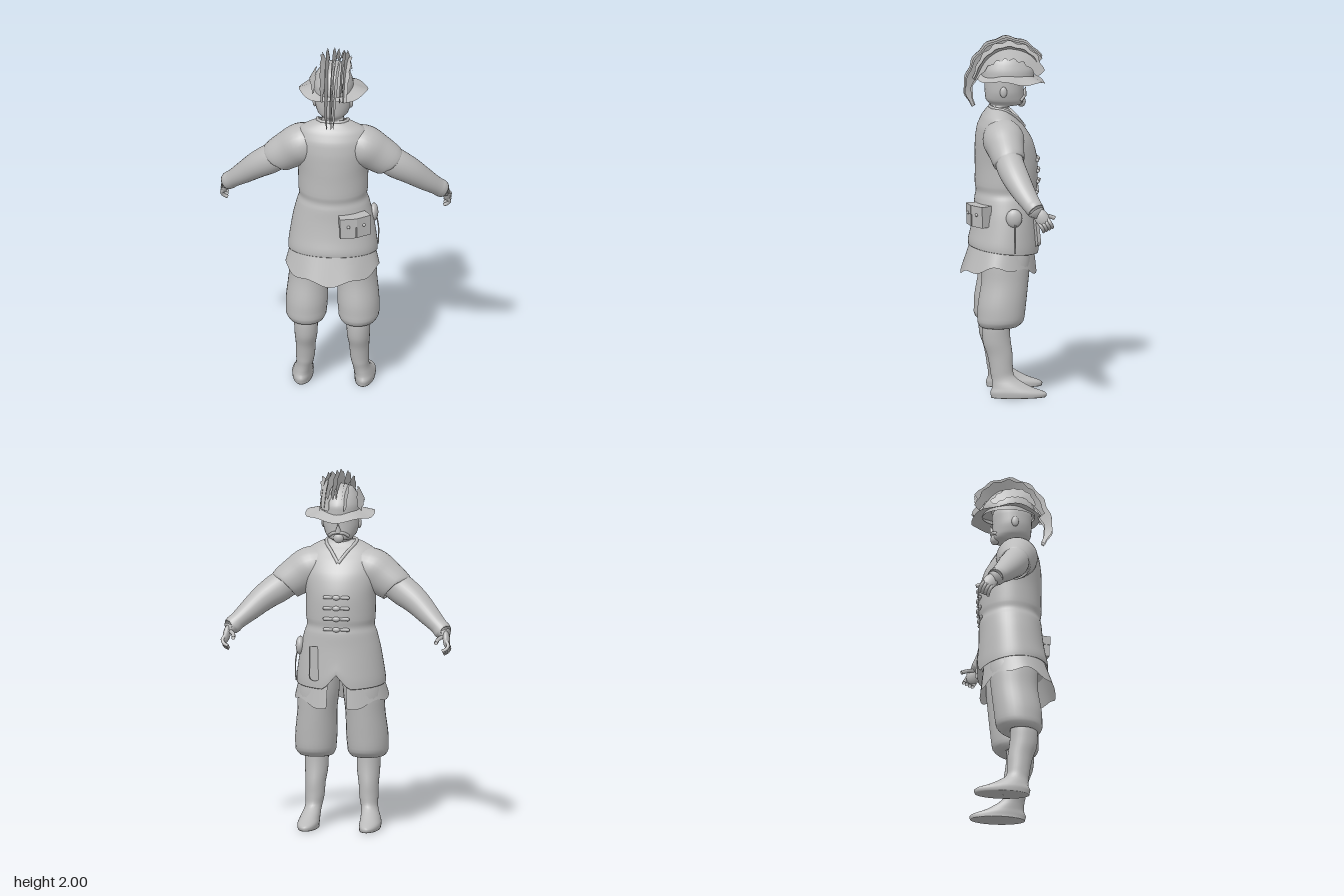
import * as THREE from 'three';

const grey = new THREE.MeshStandardMaterial({ color: 0xbcbcbc, side: THREE.DoubleSide });
grey.name = 'plain grey';
const V = (x, y, z) => new THREE.Vector3(x, y, z);
const curve = (pts) => new THREE.CatmullRomCurve3(pts.map((p) => V(...p)));

function add(parent, name, geometry, pos = [0, 0, 0], rot = [0, 0, 0], scale = [1, 1, 1]) {
  const m = new THREE.Mesh(geometry, grey);
  m.name = name;
  m.position.set(...pos);
  m.rotation.set(...rot);
  m.scale.set(...scale);
  parent.add(m);
  return m;
}

// Surface from a rule f(u, v); closed joins the last column to the first
function surface(f, nu, nv, closed = false) {
  const pos = [], idx = [], cols = closed ? nu : nu + 1;
  for (let j = 0; j <= nv; j++)
    for (let i = 0; i < cols; i++) pos.push(...f(i / nu, j / nv).toArray());
  for (let j = 0; j < nv; j++)
    for (let i = 0; i < nu; i++) {
      const a = j * cols + i, c = j * cols + ((i + 1) % cols), b = a + cols, d = c + cols;
      idx.push(a, b, c, c, b, d);
    }
  const g = new THREE.BufferGeometry();
  g.setAttribute('position', new THREE.Float32BufferAttribute(pos, 3));
  g.setIndex(idx);
  g.computeVertexNormals();
  return g;
}

// Smooth skin through ellipses [x, y, z, radiusA, radiusB], level or square to the path
function loft(rows, { level = true, n = 28, warp = (p) => p } = {}) {
  const mid = curve(rows.map((r) => r.slice(0, 3)));
  const rad = curve(rows.map((r) => [r[3], r[4], 0]));
  return surface((u, v) => {
    const a = u * Math.PI * 2, r = rad.getPoint(v);
    const T = level ? V(0, 1, 0) : mid.getTangent(v);
    const N = level ? V(1, 0, 0) : V(0, 0, 1).cross(T).normalize();
    const B = N.clone().cross(T);
    return warp(mid.getPoint(v).addScaledVector(N, r.x * Math.cos(a)).addScaledVector(B, r.y * Math.sin(a)));
  }, n, (rows.length - 1) * 4, true);
}

const tube = (pts, r, n = 8) => new THREE.TubeGeometry(curve(pts), 10, r, n);
const ball = (r) => new THREE.SphereGeometry(r, 16, 12);

function buildSide(s) {
  const g = new THREE.Group();
  g.name = s > 0 ? 'leftLimbs' : 'rightLimbs';
  // Boot with foot
  add(g, 'boot', loft([
    [0.165, 0.004, -0.06, 0.001, 0.001], [0.17, 0.003, -0.067, 0.055, 0.15], [0.172, 0.025, -0.067, 0.058, 0.155],
    [0.168, 0.06, -0.03, 0.054, 0.108], [0.155, 0.12, 0.018, 0.047, 0.064], [0.15, 0.17, 0.026, 0.052, 0.064],
    [0.148, 0.24, 0.034, 0.055, 0.07], [0.145, 0.31, 0.05, 0.063, 0.077], [0.145, 0.39, 0.055, 0.066, 0.076],
    [0.145, 0.44, 0.05, 0.06, 0.07]]));
  // Baggy breeches
  add(g, 'breeches', loft([
    [0.14, 0.42, 0.045, 0.05, 0.05], [0.142, 0.395, 0.042, 0.085, 0.095], [0.145, 0.43, 0.03, 0.112, 0.128],
    [0.142, 0.52, 0.022, 0.116, 0.133], [0.134, 0.65, 0.005, 0.11, 0.13], [0.125, 0.76, 0.0, 0.113, 0.135],
    [0.11, 0.88, 0.0, 0.1, 0.13]]));
  // Short jacket sleeve with a turned-in edge
  add(g, 'sleeve', loft([
    [0.08, 1.475, 0.02, 0.09, 0.09], [0.17, 1.445, 0.015, 0.115, 0.115], [0.24, 1.4, 0.005, 0.108, 0.1],
    [0.31, 1.35, -0.005, 0.094, 0.087], [0.312, 1.347, -0.006, 0.075, 0.07]], { level: false }));
  // Forearm and cuff
  add(g, 'forearm', loft([
    [0.26, 1.39, 0, 0.08, 0.075], [0.34, 1.335, -0.01, 0.083, 0.078], [0.42, 1.28, -0.035, 0.074, 0.075],
    [0.5, 1.21, -0.075, 0.06, 0.064], [0.565, 1.152, -0.115, 0.048, 0.052], [0.58, 1.138, -0.125, 0.05, 0.05],
    [0.596, 1.122, -0.138, 0.044, 0.046], [0.594, 1.125, -0.136, 0.025, 0.025]], { level: false }));
  // Hand with curled fingers
  add(g, 'palm', ball(1), [0.612, 1.09, -0.165], [0.5, 0, 0.15], [0.02, 0.055, 0.04]);
  for (let i = 0; i < 4; i++) {
    const z = -0.148 - 0.016 * i, y = 1.065 + 0.008 * i;
    add(g, 'finger', tube([[0.615, y, z], [0.63, y - 0.025, z - 0.016], [0.618, y - 0.045, z - 0.026], [0.598, y - 0.055, z - 0.028]], 0.0095));
  }
  add(g, 'thumb', tube([[0.6, 1.11, -0.165], [0.572, 1.095, -0.2], [0.565, 1.08, -0.24]], 0.011));
  // Ear, eye and moustache half
  add(g, 'ear', ball(1), [0.1, 1.7, 0.01], [0, 0, 0], [0.012, 0.03, 0.02]);
  add(g, 'eye', ball(0.012), [0.037, 1.715, -0.088]);
  add(g, 'moustache', tube([[0, 1.662, -0.112], [0.03, 1.658, -0.104], [0.055, 1.64, -0.085]], 0.009));
  // Collar edge
  add(g, 'collar', tube([[0, 1.49, -0.112], [0.045, 1.55, -0.062], [0.085, 1.595, 0.0], [0.07, 1.605, 0.06], [0, 1.605, 0.08]], 0.009));
  g.scale.x = s;
  return g;
}

// Flat plume following [z, y] points, wide in the middle, with a ragged edge
function plume(points, x0, x1, width, lean) {
  const c = curve(points.map(([z, y], i) => [x0 + (x1 - x0) * i / (points.length - 1), y, z]));
  return surface((u, v) => {
    const t = c.getTangent(u), side = V(Math.sin(lean), t.z * Math.cos(lean), -t.y * Math.cos(lean));
    const w = width * (0.25 + 0.75 * Math.sin(Math.PI * Math.min(1, u * 0.9 + 0.1))) * (1 + 0.15 * Math.sin(u * 45));
    return c.getPoint(u).addScaledVector(side, (v - 0.5) * w);
  }, 36, 3);
}

function buildHat() {
  const hat = new THREE.Group();
  hat.name = 'plumedHat';
  // Wavy brim, drooping at the front
  add(hat, 'brim', surface((u, v) => {
    const a = u * Math.PI * 2, c = Math.cos(a), s = Math.sin(a);
    const r = 0.08 + 0.112 * v;
    return V(r * c, 1.8 - 0.035 * v + (s < 0 ? 0.025 * s * v : 0) + 0.008 * v * Math.sin(5 * a), -0.033 + r * s);
  }, 56, 6, true));
  add(hat, 'crown', loft([
    [0, 1.765, -0.02, 0.112, 0.145], [0, 1.81, -0.02, 0.11, 0.145], [0, 1.86, -0.018, 0.095, 0.12],
    [0, 1.905, -0.015, 0.065, 0.08], [0, 1.925, -0.015, 0.001, 0.001]]));
  // Plumes sweeping from the front over the crown and down the back
  const long = [[-0.2, 1.87], [-0.11, 1.935], [0, 1.955], [0.1, 1.905], [0.165, 1.81], [0.2, 1.7], [0.17, 1.61]];
  const short = [[-0.2, 1.8], [-0.12, 1.9], [0, 1.93], [0.1, 1.88], [0.17, 1.77]];
  [[-0.035, -0.02, 0.075, -0.2], [0, 0, 0.085, 0], [0.02, 0.005, 0.07, 0.2], [0.05, 0.015, 0.06, 0.35]]
    .forEach((p) => add(hat, 'longPlume', plume(long, ...p)));
  [[0.09, 0.07, 0.1, -0.25], [0.065, 0.05, 0.09, -0.1], [-0.05, -0.05, 0.075, -0.5], [0.06, 0.08, 0.08, 0.9]]
    .forEach((p) => add(hat, 'shortPlume', plume(short, ...p)));
  add(hat, 'sidePlume', plume([[-0.12, 1.8], [-0.03, 1.86], [0.06, 1.86], [0.12, 1.8]], -0.12, -0.1, 0.08, 0.5));
  return hat;
}

export function createModel() {
  const model = new THREE.Group();
  model.name = 'plumedHatFigure';
  model.add(buildSide(1), buildSide(-1));

  // Jacket body with a notch at the front hem
  add(model, 'jacket', loft([
    [0, 0.85, 0, 0.215, 0.165], [0, 0.815, 0.003, 0.247, 0.195], [0, 0.84, 0.003, 0.247, 0.196],
    [0, 0.92, -0.002, 0.237, 0.187], [0, 1.02, -0.007, 0.22, 0.177], [0, 1.1, -0.01, 0.2, 0.173],
    [0, 1.14, -0.011, 0.187, 0.167], [0, 1.18, -0.011, 0.192, 0.173], [0, 1.3, -0.011, 0.194, 0.173],
    [0, 1.42, 0.003, 0.21, 0.158], [0, 1.5, 0.022, 0.207, 0.127], [0, 1.555, 0.033, 0.18, 0.09],
    [0, 1.59, 0.037, 0.12, 0.062], [0, 1.607, 0.037, 0.075, 0.045]], {
    n: 56,
    warp: (p) => {
      const k = Math.max(0, 0.95 - p.y);
      p.y += k * p.z * 0.8;
      if (p.z < 0) p.y += k * 0.6 * Math.max(0, 1 - Math.abs(p.x) / 0.07);
      return p;
    },
  }));

  // Shirt tail, open at the front with a ragged hem
  add(model, 'shirtTail', surface((u, v) => {
    const a = -Math.PI / 2 + 0.22 + u * (Math.PI * 2 - 0.44), s = Math.sin(a);
    const hem = 0.71 + 0.025 * Math.cos(2 * a) + 0.012 * Math.sin(7 * a);
    return V((0.225 + 0.035 * v) * Math.cos(a), 0.87 + (hem - 0.87) * v, 0.01 + 0.02 * v + (0.17 + 0.04 * v) * s);
  }, 56, 6));

  // Head and neck
  add(model, 'head', loft([
    [0, 1.56, 0.035, 0.062, 0.05], [0, 1.605, 0.028, 0.06, 0.055], [0, 1.62, -0.012, 0.066, 0.09],
    [0, 1.645, -0.004, 0.086, 0.105], [0, 1.7, 0, 0.1, 0.108], [0, 1.77, 0, 0.1, 0.11],
    [0, 1.84, 0, 0.07, 0.07]]));
  add(model, 'nose', new THREE.ConeGeometry(0.018, 0.055, 10), [0, 1.69, -0.114], [-0.3, 0, 0]);
  add(model, 'beard', ball(1), [0, 1.63, -0.095], [0, 0, 0], [0.03, 0.03, 0.025]);

  // Jacket fastenings: paired loops round a toggle
  for (const y of [1.13, 1.19, 1.25, 1.31]) {
    const z = y > 1.3 ? -0.182 : y < 1.15 ? -0.178 : -0.184;
    for (const s of [-1, 1])
      add(model, 'fasteningLoop', new THREE.CapsuleGeometry(0.01, 0.05, 4, 8), [s * 0.04, y, z + 0.005], [0, s * 0.12, Math.PI / 2]);
    add(model, 'toggle', ball(1), [0, y, z - 0.004], [0, 0, 0], [0.022, 0.014, 0.012]);
  }

  // Double belt pouch at the back
  [[0.095, 0.172, 0.22], [0.165, 0.138, 0.65]].forEach(([x, z, turn]) => {
    const pouch = new THREE.Group();
    pouch.name = 'beltPouch';
    pouch.position.set(x, 1.015, z);
    pouch.rotation.y = turn;
    add(pouch, 'pouchBody', new THREE.BoxGeometry(0.088, 0.11, 0.06));
    add(pouch, 'pouchFlap', new THREE.BoxGeometry(0.094, 0.05, 0.068), [0, 0.038, 0]);
    add(pouch, 'pouchButton', ball(0.009), [0, 0.015, 0.035]);
    model.add(pouch);
  });

  // Round purse with a hanging cord, and a flat sheath on the front
  add(model, 'purse', ball(1), [0.222, 1.015, -0.04], [0, 0, 0], [0.025, 0.052, 0.045]);
  add(model, 'purseCord', tube([[0.235, 1.0, -0.045], [0.248, 0.92, -0.045], [0.245, 0.82, -0.045]], 0.004, 6));
  add(model, 'sheath', new THREE.BoxGeometry(0.065, 0.16, 0.02), [0.12, 0.95, -0.164], [0.1, 0.4, 0]);
  add(model, 'sheathTip', new THREE.CylinderGeometry(0.032, 0.032, 0.02, 16), [0.121, 0.872, -0.172], [Math.PI / 2 + 0.1, 0, -0.4]);

  model.add(buildHat());
  return model;
}
